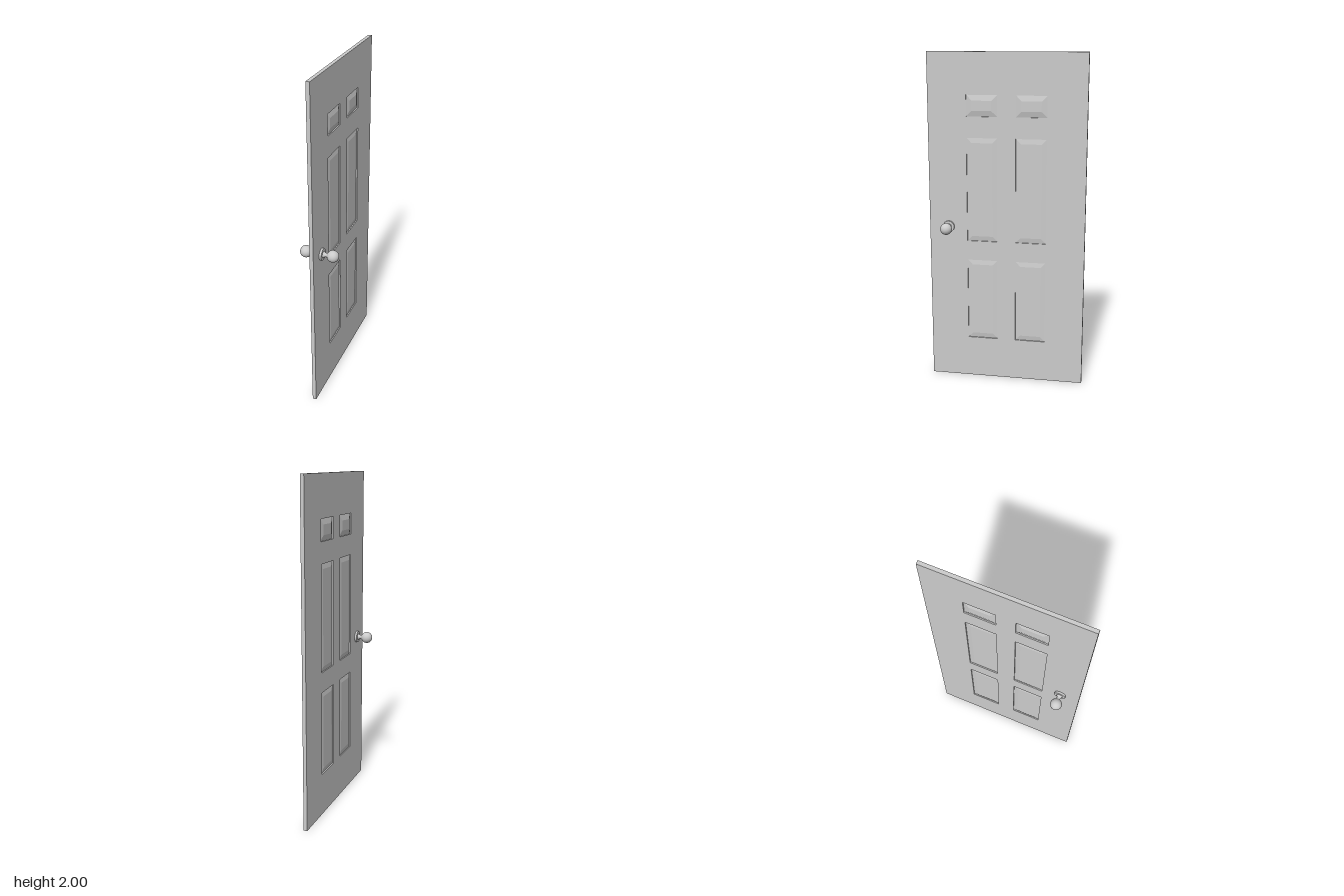
import * as THREE from 'three';

const HALF = 0.011;      // half the slab thickness
const RECESS = 0.004;    // half thickness at the sunk edge of a panel
const WIDTH = 0.94, HEIGHT = 2;
const PANEL_W = 0.183, PANEL_Z = 0.147;

// rows of panels: bottom, top, half thickness of the raised field, bevel width
const ROWS = [
  { name: 'lower', y0: 0.255, y1: 0.76, field: 0.009, bevel: 0.03 },
  { name: 'middle', y0: 0.88, y1: 1.505, field: 0.009, bevel: 0.03 },
  { name: 'upper', y0: 1.63, y1: 1.755, field: 0.012, bevel: 0.033 },
];

const material = new THREE.MeshStandardMaterial({ color: 0xcccccc });

function addMesh(parent, name, geometry) {
  const mesh = new THREE.Mesh(geometry, material);
  mesh.name = name;
  parent.add(mesh);
  return mesh;
}

function rectangle(target, x0, y0, x1, y1) {
  target.moveTo(x0, y0);
  target.lineTo(x1, y0);
  target.lineTo(x1, y1);
  target.lineTo(x0, y1);
  target.closePath();
  return target;
}

// Door slab with an opening for each panel; shape x becomes z
function slabGeometry() {
  const shape = rectangle(new THREE.Shape(), -WIDTH / 2, 0, WIDTH / 2, HEIGHT);
  for (const { y0, y1 } of ROWS) {
    for (const side of [-1, 1]) {
      const z = side * PANEL_Z;
      shape.holes.push(rectangle(new THREE.Path(), z - PANEL_W / 2, y0, z + PANEL_W / 2, y1));
    }
  }
  return new THREE.ExtrudeGeometry(shape, { depth: 2 * HALF, bevelEnabled: false })
    .translate(0, 0, -HALF)
    .rotateY(-Math.PI / 2);
}

// Fielded panel: a box whose two faces are drawn in and pushed outward
function panelGeometry(height, field, bevel) {
  const geometry = new THREE.BoxGeometry(3, height, PANEL_W, 3, 1, 1).toNonIndexed();
  const p = geometry.attributes.position;
  for (let i = 0; i < p.count; i++) {
    const x = p.getX(i), y = p.getY(i), z = p.getZ(i);
    const inset = Math.abs(x) > 1 ? bevel : 0;
    p.setXYZ(i, Math.sign(x) * (inset ? field : RECESS),
      y - Math.sign(y) * inset, z - Math.sign(z) * inset);
  }
  geometry.computeVertexNormals();
  return geometry;
}

// Knob ball, flared neck and round plate, pointing along +x
function buildKnob(name) {
  const knob = new THREE.Group();
  knob.name = name;
  addMesh(knob, 'rosePlate', new THREE.CylinderGeometry(0.035, 0.035, 0.016, 32)
    .rotateZ(-Math.PI / 2)).position.x = 0.016;
  const neck = [[0.02, 0.022], [0.018, 0.027], [0.013, 0.034], [0.0115, 0.04],
    [0.013, 0.046], [0.018, 0.053]].map(([r, h]) => new THREE.Vector2(r, h));
  addMesh(knob, 'neck', new THREE.LatheGeometry(neck, 24).rotateZ(-Math.PI / 2));
  addMesh(knob, 'ball', new THREE.SphereGeometry(0.035, 32, 24)).position.x = 0.081;
  return knob;
}

export function createModel() {
  const door = new THREE.Group();
  door.name = 'door';
  addMesh(door, 'slab', slabGeometry());

  // Six panels in two columns
  for (const { name, y0, y1, field, bevel } of ROWS) {
    for (const side of [-1, 1]) {
      const panel = addMesh(door, `${name}Panel${side > 0 ? 'Front' : 'Back'}`,
        panelGeometry(y1 - y0, field, bevel));
      panel.position.set(0, (y0 + y1) / 2, side * PANEL_Z);
    }
  }

  // A knob on each face
  for (const side of [-1, 1]) {
    const knob = buildKnob(side > 0 ? 'leftKnob' : 'rightKnob');
    knob.position.set(0, 0.965, 0.353);
    if (side < 0) knob.rotation.y = Math.PI;
    door.add(knob);
  }
  return door;
}
